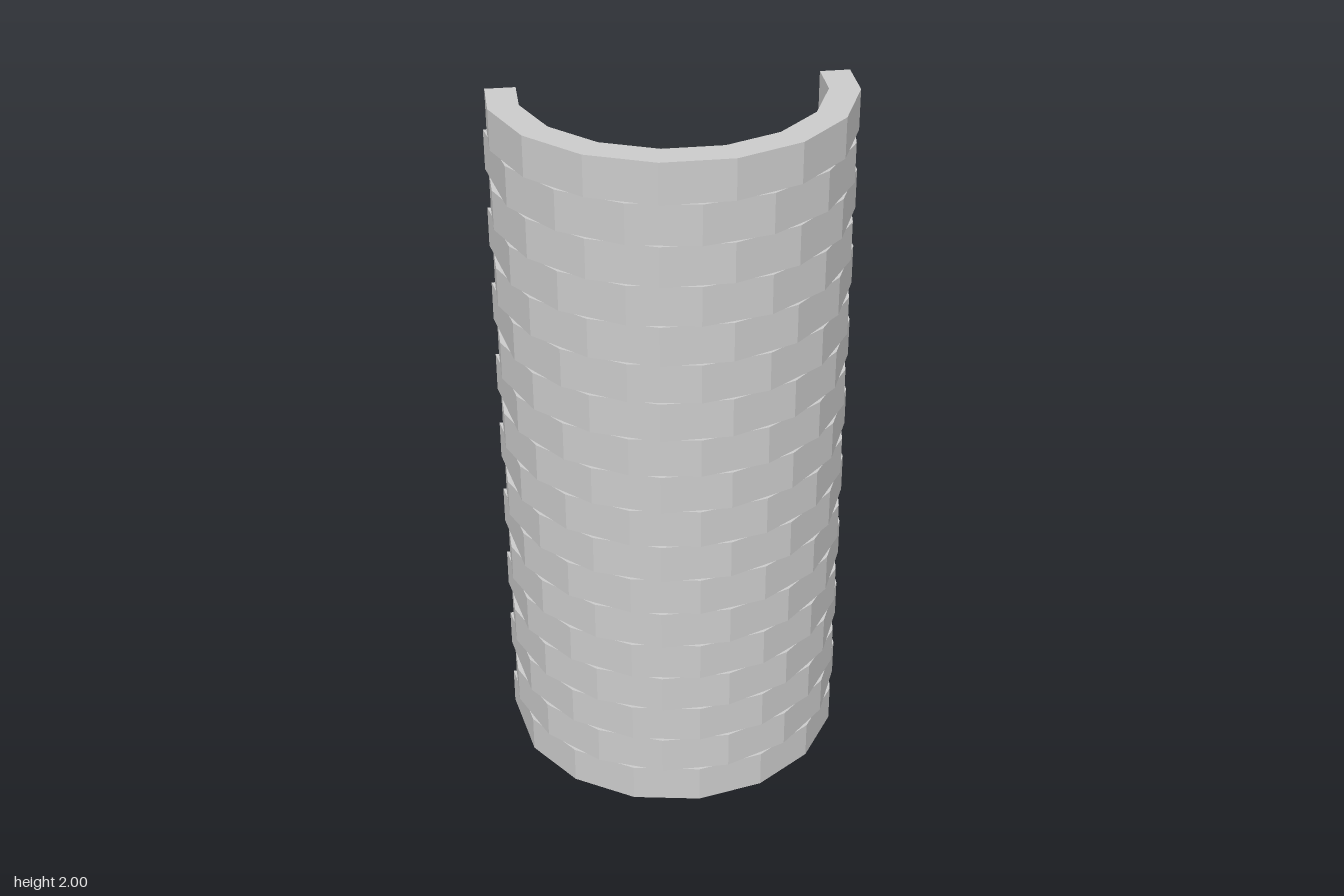
import * as THREE from 'three';

const COURSES = 18;
const HEIGHT = 2 / COURSES;
const CENTER_Z = -0.223;
const END_Z = -0.264;
const OUTER = 0.487;
const INNER = 0.405;

// Arc of a 16-sided ring, its two ends drawn straight back to the end plane
function arc(radius, turn, y) {
  const points = [];
  const first = turn > 5 ? -5 : -4;
  for (let k = first; k <= 4; k++) {
    const a = THREE.MathUtils.degToRad(turn + 22.5 * k);
    const isEnd = k === first || k === 4;
    points.push([radius * Math.sin(a), y, isEnd ? END_Z : CENTER_Z + radius * Math.cos(a)]);
  }
  return points;
}

// One hollow curved course: outer wall, top, inner wall and bottom, open at both ends
function courseGeometry(turn) {
  const loops = [
    arc(OUTER, turn, 0), arc(OUTER, turn, HEIGHT),
    arc(INNER, turn, HEIGHT), arc(INNER, turn, 0),
  ];
  const positions = [];
  loops.forEach((lower, side) => {
    const upper = loops[(side + 1) % 4];
    for (let i = 0; i < lower.length - 1; i++) {
      const [a, b, c, d] = [lower[i], lower[i + 1], upper[i + 1], upper[i]];
      positions.push(...a, ...b, ...c, ...a, ...c, ...d);
    }
  });
  const geometry = new THREE.BufferGeometry();
  geometry.setAttribute('position', new THREE.Float32BufferAttribute(positions, 3));
  geometry.computeVertexNormals();
  return geometry;
}

export function createModel() {
  const model = new THREE.Group();
  model.name = 'curvedWall';
  const material = new THREE.MeshStandardMaterial({
    color: 0xcccccc, flatShading: true, side: THREE.DoubleSide,
  });

  // Alternate courses are turned ten degrees against each other
  const turned = courseGeometry(1.25);
  const straight = courseGeometry(11.25);
  for (let i = 0; i < COURSES; i++) {
    const course = new THREE.Mesh(i % 2 ? straight : turned, material);
    course.name = i % 2 ? 'straightCourse' : 'turnedCourse';
    course.position.y = i * HEIGHT;
    model.add(course);
  }
  return model;
}
